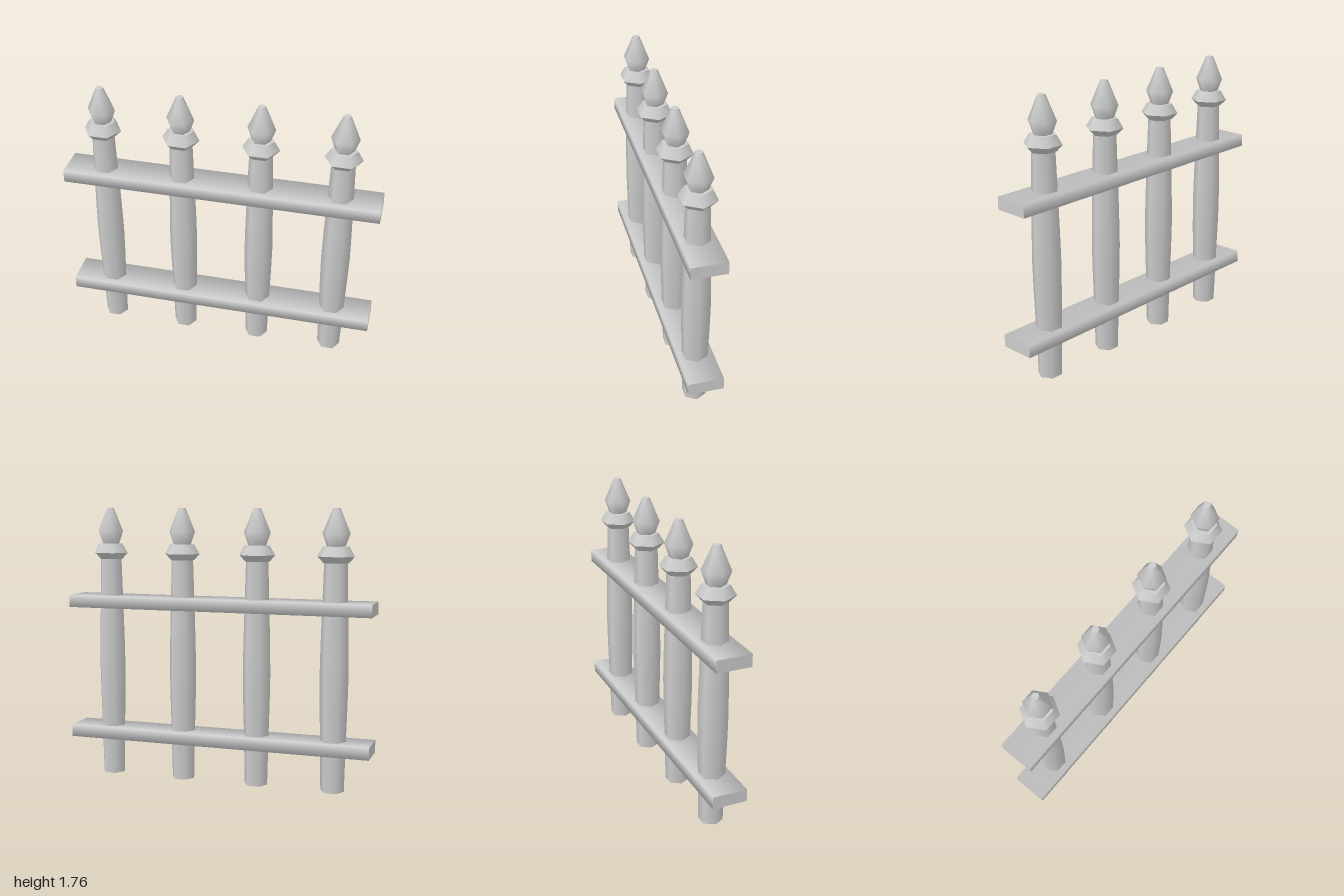
import * as THREE from 'three';

const SIDES = 6;
const grey = new THREE.MeshStandardMaterial({ color: 0xcccccc });

// Six-sided turned part: smooth along one profile, corners pointing along x
function turned(name, profile) {
  const points = profile.map(([r, y]) => new THREE.Vector2(r, y));
  const mesh = new THREE.Mesh(new THREE.LatheGeometry(points, SIDES, Math.PI / 2), grey);
  mesh.name = name;
  return mesh;
}

// One picket, split into separate profiles wherever an edge is sharp
function makePicket() {
  const picket = new THREE.Group();
  picket.add(
    turned('shaftFoot', [[0, 0], [0.075, 0]]),
    turned('shaft', [[0.075, 0], [0.083, 0.36], [0.088, 0.54], [0.091, 0.72], [0.088, 0.9], [0.083, 1.09], [0.073, 1.43]]),
    turned('collarUnderside', [[0, 1.43], [0.08, 1.43]]),
    turned('collarLower', [[0.08, 1.43], [0.117, 1.47]]),
    turned('collarUpper', [[0.117, 1.47], [0.081, 1.53]]),
    turned('collarTop', [[0.081, 1.53], [0, 1.53]]),
    turned('finial', [[0.058, 1.53], [0.087, 1.61], [0.023, 1.76]]),
    turned('finialTip', [[0.023, 1.76], [0, 1.76]])
  );
  return picket;
}

// Horizontal rail with soft shading round its long edges and flat ends
function makeRail(name, bottom, top) {
  const geometry = new THREE.BoxGeometry(2, top - bottom, 0.22);
  const { position, normal } = geometry.attributes;
  for (let i = 0; i < position.count; i++) {
    if (Math.abs(normal.getX(i)) > 0.5) continue;
    normal.setXYZ(i, 0, Math.sign(position.getY(i)) * Math.SQRT1_2, Math.sign(position.getZ(i)) * Math.SQRT1_2);
  }
  const rail = new THREE.Mesh(geometry, grey);
  rail.position.y = (bottom + top) / 2;
  rail.name = name;
  return rail;
}

export function createModel() {
  const fence = new THREE.Group();
  fence.name = 'picketFence';

  // Four evenly spaced pickets
  for (let i = 0; i < 4; i++) {
    const picket = makePicket();
    picket.name = `picket${i + 1}`;
    picket.position.x = -0.753 + i * 0.499;
    fence.add(picket);
  }

  // Two rails
  fence.add(makeRail('lowerRail', 0.243, 0.322), makeRail('upperRail', 1.113, 1.192));
  return fence;
}
